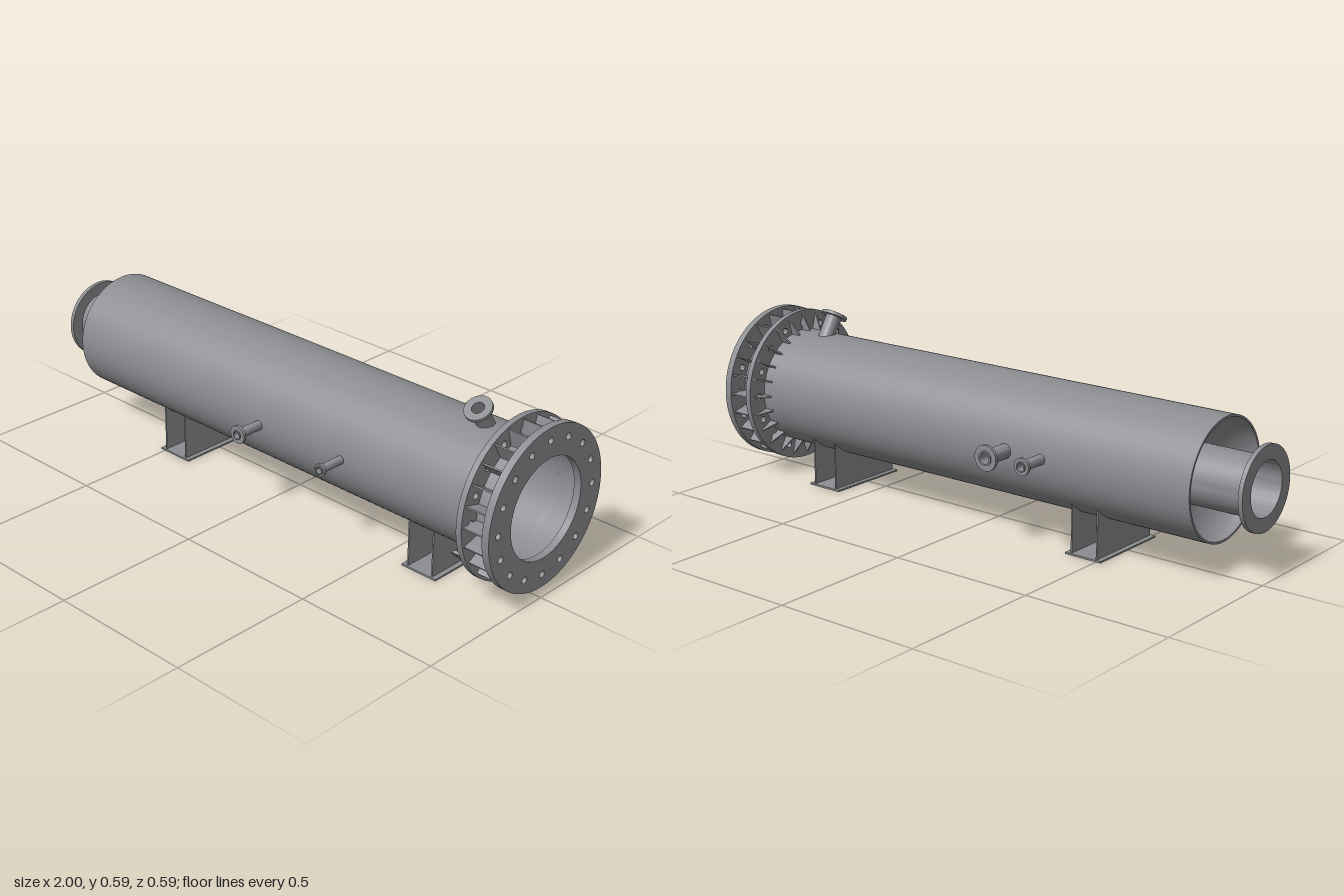
import * as THREE from 'three';
import { toCreasedNormals } from 'three/addons/utils/BufferGeometryUtils.js';

const CY = 0.302; // height of the vessel axis
const SHELL_R = 0.197;
const X = new THREE.Vector3(1, 0, 0);
const Y = new THREE.Vector3(0, 1, 0);

export function createModel() {
  const model = new THREE.Group();
  const steel = new THREE.MeshStandardMaterial({ color: 0x8c8d91, side: THREE.DoubleSide });
  steel.name = 'grey steel';

  function add(parent, name, geometry) {
    const mesh = new THREE.Mesh(geometry, steel);
    mesh.name = name;
    parent.add(mesh);
    return mesh;
  }

  // Turned part: [radius, distance along axis] pairs, axis starting at origin and following dir
  function turned(parent, name, profile, origin, dir, sides = 64) {
    const points = profile.map(([r, t]) => new THREE.Vector2(r, t));
    const mesh = add(parent, name, toCreasedNormals(new THREE.LatheGeometry(points, sides), 0.5));
    mesh.position.copy(origin);
    mesh.quaternion.setFromUnitVectors(Y, dir);
    return mesh;
  }
  const ring = (ri, ro, a, b) => [[ri, a], [ro, a], [ro, b], [ri, b], [ri, a]];
  const axis = new THREE.Vector3(0, CY, 0);

  // Main shell
  turned(model, 'shell', ring(0.19, SHELL_R, -0.86, 0.98), axis, X, 96);

  // Dished head, bulging into the shell
  const dish = [];
  for (let i = 0; i <= 20; i++) {
    const a = (i / 20) * Math.PI / 2;
    dish.push([0.194 * Math.cos(a), -0.858 + 0.1 * Math.sin(a)]);
  }
  turned(model, 'dishedHead', dish, axis, X, 96);

  // Neck with its flange
  const neck = new THREE.Group();
  neck.name = 'neck';
  model.add(neck);
  turned(neck, 'neckPipe', ring(0.088, 0.095, -1, -0.77), axis, X);
  turned(neck, 'neckFlange', ring(0.088, 0.135, -1, -0.985), axis, X);

  // Drilled flange plates at the open end
  function flangePlate(name, bore, x0, depth) {
    const shape = new THREE.Shape().absarc(0, 0, 0.265, 0, Math.PI * 2);
    shape.holes.push(new THREE.Path().absarc(0, 0, bore, 0, Math.PI * 2, true));
    for (let i = 0; i < 16; i++) {
      const a = i * Math.PI / 8;
      shape.holes.push(new THREE.Path().absarc(0.222 * Math.cos(a), 0.222 * Math.sin(a), 0.011, 0, Math.PI * 2, true));
    }
    const geometry = new THREE.ExtrudeGeometry(shape, { depth, bevelEnabled: false, curveSegments: 40 });
    geometry.rotateY(Math.PI / 2);
    add(model, name, toCreasedNormals(geometry, 0.5)).position.set(x0, CY, 0);
  }
  flangePlate('endFlange', 0.165, 0.975, 0.025);
  flangePlate('backingFlange', 0.19, 0.88, 0.02);

  // Radial stiffeners, tapered behind the backing flange
  const gusset = new THREE.ExtrudeGeometry(new THREE.Shape([
    [0.845, 0.192], [0.978, 0.192], [0.978, 0.257], [0.882, 0.257], [0.845, 0.2],
  ].map(([x, y]) => new THREE.Vector2(x, y))), { depth: 0.005, bevelEnabled: false });
  gusset.translate(0, 0, -0.0025);
  const gussets = new THREE.Group();
  gussets.name = 'gussets';
  gussets.position.y = CY;
  model.add(gussets);
  for (let i = 0; i < 24; i++) add(gussets, 'gusset', gusset).rotation.x = i * Math.PI / 12;

  // Flanged branch pipe; origin is the outer face centre, dir points outward
  function nozzle(name, origin, dir, pipeR, flangeR, length, thickness = 0.01, lip = 0.004) {
    const group = new THREE.Group();
    group.name = name;
    model.add(group);
    turned(group, 'branchPipe', ring(pipeR * 0.75, pipeR, -length, 0), origin, dir, 32);
    turned(group, 'branchFlange', ring(pipeR * 0.75, flangeR, -lip - thickness, -lip), origin, dir, 32);
  }
  const front = new THREE.Vector3(0, 0, 1);
  const back = new THREE.Vector3(0, 0, -1);
  nozzle('frontNozzle', new THREE.Vector3(0.01, 0.295, 0.295), front, 0.016, 0.03, 0.11);
  nozzle('smallFrontNozzle', new THREE.Vector3(0.365, 0.302, 0.293), front, 0.014, 0.02, 0.11);
  nozzle('backNozzle', new THREE.Vector3(-0.18, 0.306, -0.297), back, 0.024, 0.042, 0.11);
  nozzle('smallBackNozzle', new THREE.Vector3(-0.32, 0.306, -0.297), back, 0.017, 0.028, 0.11);
  const slant = new THREE.Vector3(0, 0.85, 0.53).normalize();
  nozzle('topNozzle', new THREE.Vector3(0.765, 0.563, 0.043), slant, 0.027, 0.045, 0.16, 0.011, 0);

  // Drain: bent pipe from the axis out through the lower front of the shell
  const drain = new THREE.Group();
  drain.name = 'drain';
  model.add(drain);
  const out = new THREE.Vector3(0, -1, 1).normalize();
  const at = (x, r) => new THREE.Vector3(x, CY, 0).addScaledVector(out, r);
  const path = new THREE.CurvePath();
  path.add(new THREE.LineCurve3(at(0.72, 0), at(0.79, 0)));
  path.add(new THREE.QuadraticBezierCurve3(at(0.79, 0), at(0.82, 0), at(0.82, 0.03)));
  path.add(new THREE.LineCurve3(at(0.82, 0.03), at(0.82, 0.235)));
  add(drain, 'drainPipe', new THREE.TubeGeometry(path, 60, 0.016, 24));
  turned(drain, 'drainInletCollar', ring(0.012, 0.024, 0.72, 0.73), axis, X, 32);
  turned(drain, 'drainFlange', ring(0.011, 0.027, 0.226, 0.236), at(0.82, 0), out, 32);

  // Saddles: two upright plates cut to the shell, on a base plate
  const half = 0.144;
  const edge = Math.asin(half / SHELL_R);
  const saddleShape = new THREE.Shape();
  saddleShape.moveTo(-half, 0.004);
  saddleShape.lineTo(half, 0.004);
  saddleShape.absarc(0, CY, SHELL_R - 0.002, -Math.PI / 2 + edge, -Math.PI / 2 - edge, true);
  saddleShape.closePath();
  const upright = new THREE.ExtrudeGeometry(saddleShape, { depth: 0.005, bevelEnabled: false, curveSegments: 32 });
  upright.translate(0, 0, -0.0025).rotateY(Math.PI / 2);
  for (const x of [-0.45, 0.65]) {
    const saddle = new THREE.Group();
    saddle.name = 'saddle';
    saddle.position.x = x;
    model.add(saddle);
    for (const s of [-1, 1]) add(saddle, 'saddlePlate', upright).position.x = s * 0.048;
    add(saddle, 'basePlate', new THREE.BoxGeometry(0.135, 0.006, 0.3)).position.y = 0.003;
  }

  return model;
}
